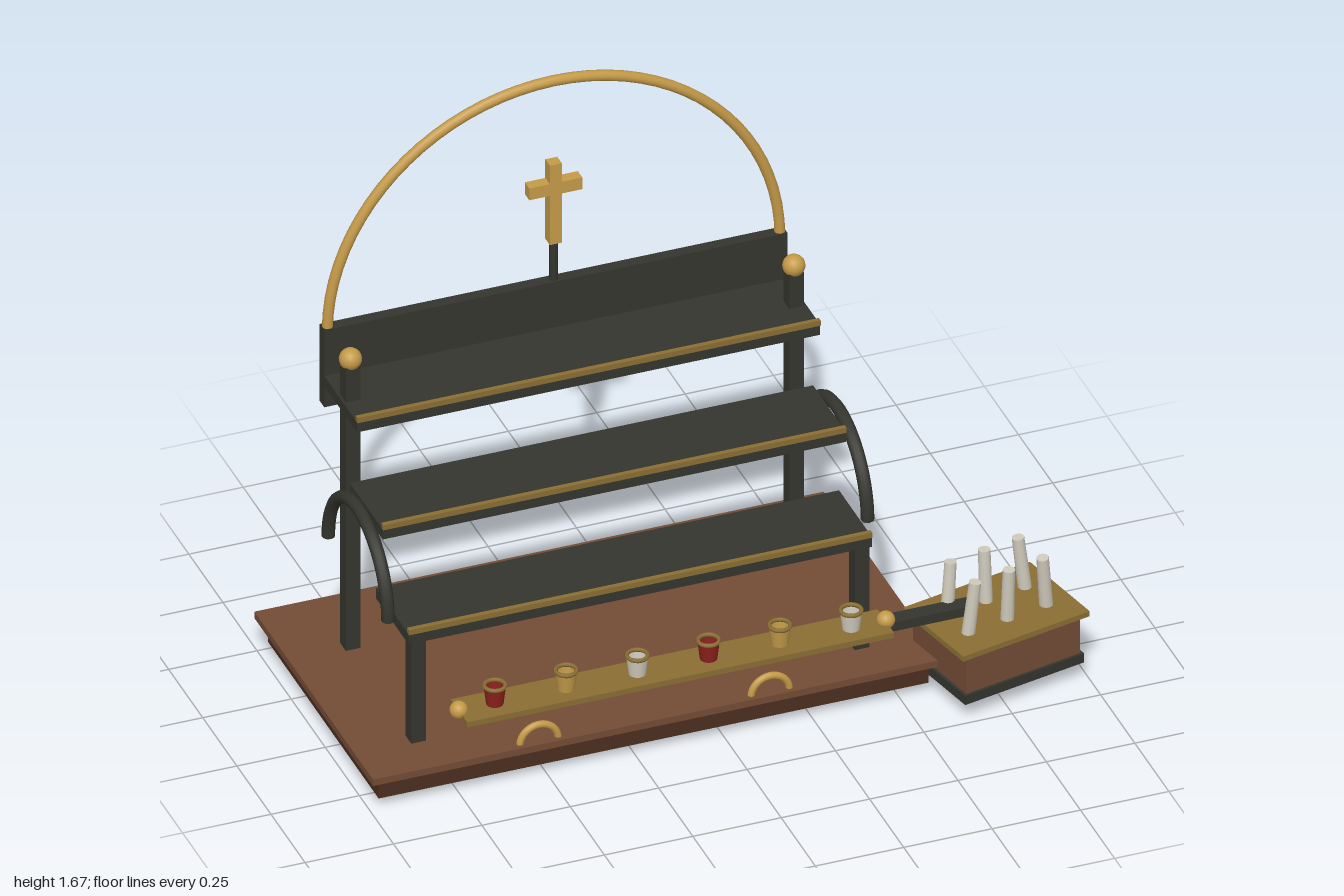
import * as THREE from 'three';

const mat = (name, color, extra = {}) => {
  const m = new THREE.MeshStandardMaterial({ color, ...extra });
  m.name = name;
  return m;
};

export function createModel() {
  const wood = mat('wood', 0x734b35);
  const darkWood = mat('darkWood', 0x4c2e20);
  const iron = mat('iron', 0x34352e);
  const gold = mat('gold', 0xc49a48);
  const brass = mat('brass', 0x8a6e34);
  const wax = mat('wax', 0xd0cabc);
  const redGlass = mat('redGlass', 0x8c201c, { side: THREE.DoubleSide });
  const goldGlass = mat('goldGlass', 0xc09a48, { side: THREE.DoubleSide });
  const whiteGlass = mat('whiteGlass', 0xd0cabc, { side: THREE.DoubleSide });

  const root = new THREE.Group();
  root.name = 'candleStand';
  const add = (name, geo, material, x, y, z, parent = root) => {
    const m = new THREE.Mesh(geo, material);
    m.name = name;
    m.position.set(x, y, z);
    parent.add(m);
    return m;
  };
  const box = (name, material, w, h, d, x, y, z, parent) =>
    add(name, new THREE.BoxGeometry(w, h, d), material, x, y, z, parent);
  const ball = (name, material, r, x, y, z) =>
    add(name, new THREE.SphereGeometry(r, 16, 12), material, x, y, z);
  const halfRing = (name, material, R, r, x, y, z) =>
    add(name, new THREE.TorusGeometry(R, r, 10, 40, Math.PI), material, x, y, z);

  const cx = -0.195; // centre line of the stand

  // Base board, plinth and feet
  box('baseTop', wood, 1.61, 0.02, 0.87, cx, 0.101, -0.085);
  box('basePlinth', darkWood, 1.555, 0.066, 0.81, cx, 0.06, -0.085);
  for (const s of [-1, 1]) {
    for (const z of [0.272, -0.452]) ball('foot', gold, 0.032, cx + s * 0.643, 0.032, z);
  }

  // Posts, finials and curved side braces
  for (const s of [-1, 1]) {
    const x = cx + s * 0.627;
    box('backPost', iron, 0.042, 0.89, 0.042, x, 0.555, -0.277);
    ball('finial', gold, 0.031, x, 1.014, -0.277);
    box('frontPost', iron, 0.042, 0.35, 0.042, x, 0.281, 0.203);
    halfRing('sideBrace', iron, 0.219, 0.018, cx + s * 0.678, 0.45, -0.088).rotation.y = Math.PI / 2;
    // Half-ring handles on the base
    halfRing('handle', gold, 0.054, 0.01, cx + s * 0.327, 0.105, 0.327);
  }

  // Three stepped shelves with brass lips
  [[0.44, 0.102], [0.655, -0.088], [0.878, -0.276]].forEach(([y, z]) => {
    box('shelf', iron, 1.31, 0.032, 0.24, cx, y, z);
    box('shelfLip', brass, 1.31, 0.016, 0.014, cx, y + 0.023, z + 0.117);
  });

  // Back panel, arch and cross
  box('backPanel', iron, 1.31, 0.242, 0.034, cx, 0.916, -0.413);
  halfRing('arch', gold, 0.64, 0.015, cx, 1.02, -0.413);
  add('crossStem', new THREE.CylinderGeometry(0.012, 0.012, 0.13, 12), iron, cx, 1.095, -0.413);
  box('crossUpright', gold, 0.034, 0.25, 0.034, cx, 1.281, -0.413);
  box('crossArm', gold, 0.15, 0.037, 0.033, cx, 1.329, -0.413);

  // Front rail with six glass cups
  box('cupRail', brass, 1.207, 0.017, 0.12, -0.193, 0.334, 0.452);
  for (const s of [-1, 1]) ball('railKnob', gold, 0.025, -0.193 + s * 0.604, 0.346, 0.452);
  for (let i = 0; i < 6; i++) {
    const x = -0.695 + i * 0.2015;
    add('cup', new THREE.CylinderGeometry(0.03, 0.023, 0.06, 16, 1, true),
      [redGlass, goldGlass, whiteGlass][i % 3], x, 0.37, 0.452);
    add('cupRim', new THREE.TorusGeometry(0.028, 0.006, 6, 20), brass, x, 0.399, 0.452)
      .rotation.x = Math.PI / 2;
  }

  // Side bracket carrying the candle box
  box('bracket', iron, 0.262, 0.028, 0.046, 0.581, 0.243, 0.322);
  const candleBox = new THREE.Group();
  candleBox.name = 'candleBox';
  candleBox.position.set(0.775, 0, 0.32);
  candleBox.rotation.y = 0.215;
  root.add(candleBox);
  box('boxBase', iron, 0.376, 0.028, 0.27, 0, 0.066, 0, candleBox);
  box('boxBody', wood, 0.36, 0.12, 0.255, 0, 0.138, 0, candleBox);
  box('boxLid', brass, 0.4, 0.016, 0.286, 0, 0.205, 0, candleBox);

  // Leaning candles
  for (const lx of [-0.115, 0, 0.115]) {
    for (const lz of [-0.055, 0.055]) {
      const c = add('candle', new THREE.CylinderGeometry(0.017, 0.019, 0.165, 10), wax, lx, 0.288, lz, candleBox);
      c.rotation.set(lz * 0.9, 0, lx * 0.9);
    }
  }
  return root;
}
